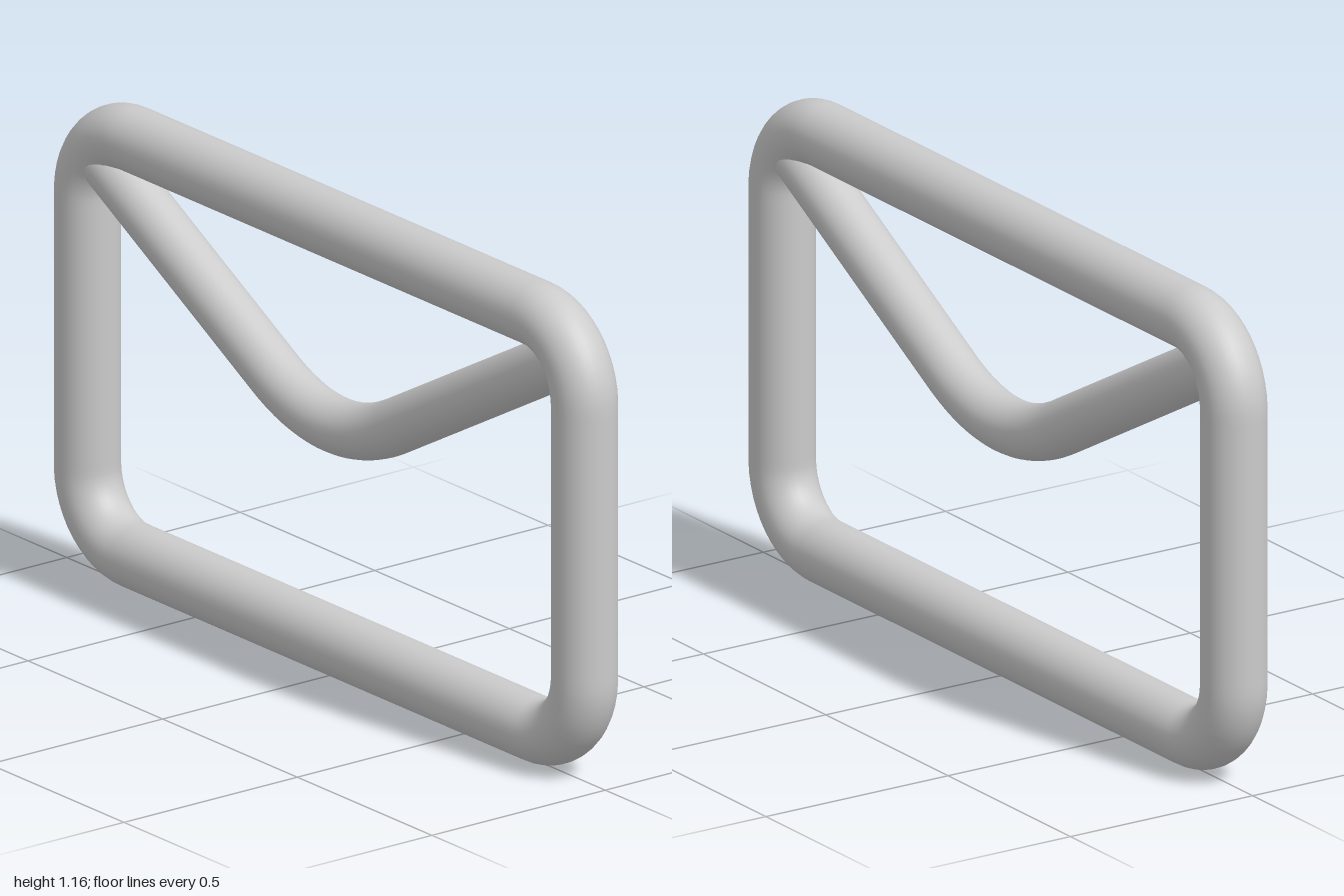
import * as THREE from 'three';

// Lifts a flat 2D path into space so it can guide a tube
class FlatCurve extends THREE.Curve {
  constructor(path) {
    super();
    this.path = path;
  }
  getPoint(t, target = new THREE.Vector3()) {
    const p = this.path.getPoint(t);
    return target.set(p.x, p.y, 0);
  }
}

export function createModel() {
  const group = new THREE.Group();
  const material = new THREE.MeshStandardMaterial({ color: 0xcccccc, side: THREE.DoubleSide });

  function addTube(name, path, segments, radius, closed) {
    const geometry = new THREE.TubeGeometry(new FlatCurve(path), segments, radius, 32, closed);
    const mesh = new THREE.Mesh(geometry, material);
    mesh.name = name;
    group.add(mesh);
  }

  // Envelope outline: a rounded rectangle along the tube's centre line
  const R = 0.077, X = 1 - R, Y0 = R, Y1 = 1.16 - R, C = 0.175;
  const outline = new THREE.Path();
  outline.moveTo(0, Y0);
  outline.lineTo(X - C, Y0);
  outline.absarc(X - C, Y0 + C, C, -Math.PI / 2, 0, false);
  outline.lineTo(X, Y1 - C);
  outline.absarc(X - C, Y1 - C, C, 0, Math.PI / 2, false);
  outline.lineTo(-X + C, Y1);
  outline.absarc(-X + C, Y1 - C, C, Math.PI / 2, Math.PI, false);
  outline.lineTo(-X, Y0 + C);
  outline.absarc(-X + C, Y0 + C, C, Math.PI, Math.PI * 1.5, false);
  outline.lineTo(0, Y0);
  addTube('envelopeFrame', outline, 240, R, true);

  // Flap: a V with a soft bend, its ends buried in the upper corners
  const slope = 0.545, tip = 0.54, bend = 0.23, end = 0.87;
  const flap = new THREE.Path();
  flap.moveTo(-end, tip + end * slope);
  flap.lineTo(-bend, tip + bend * slope);
  flap.quadraticCurveTo(0, tip, bend, tip + bend * slope);
  flap.lineTo(end, tip + end * slope);
  addTube('envelopeFlap', flap, 100, 0.066, false);

  return group;
}
